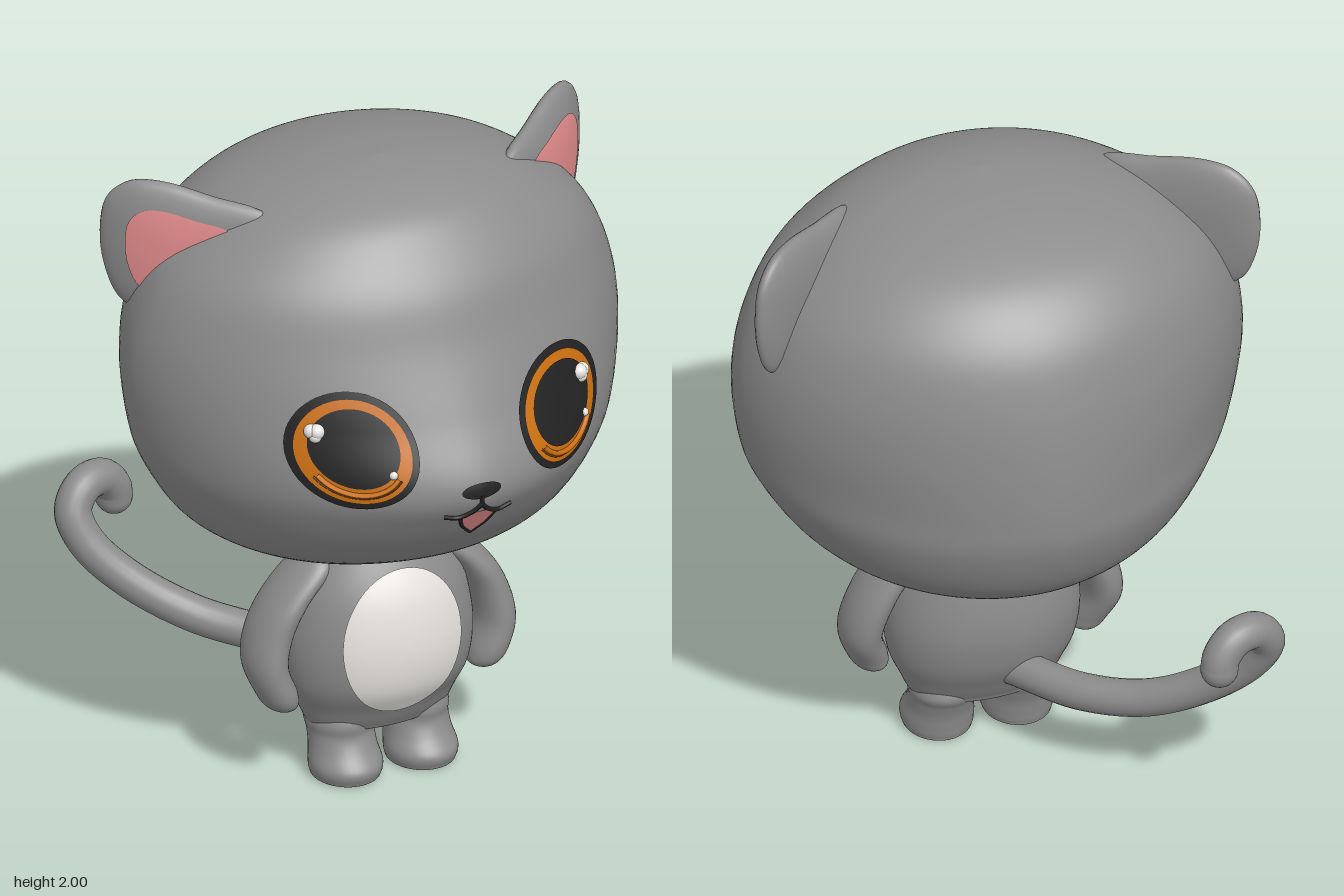
import * as THREE from 'three';

const mat = (name, color, side = THREE.FrontSide) => {
  const m = new THREE.MeshStandardMaterial({ color, side });
  m.name = name;
  return m;
};

// Cross-section rows: [y, half width, front z, back z, centre x, z of widest point, roundness power]
const fillRows = (rows) => rows.map(([y, w, f, b, x = 0, c = (f + b) / 2, p = 2]) => [y, w, f, b, x, c, p]);

const HEAD = fillRows([
  [2.0, 0, 0.07, 0.07, 0, 0.07, 2], [1.98, 0.2, 0.2, -0.13, 0, 0.05, 2], [1.93, 0.38, 0.335, -0.32, 0, 0.02, 2],
  [1.86, 0.52, 0.42, -0.45, 0, 0, 2], [1.74, 0.66, 0.512, -0.555, 0, 0, 1.92], [1.58, 0.74, 0.58, -0.615, 0, 0, 1.84],
  [1.4, 0.77, 0.668, -0.648, 0, 0, 1.74], [1.21, 0.752, 0.757, -0.662, 0, 0, 1.66], [1.08, 0.705, 0.7, -0.647, 0, 0, 1.75],
  [0.93, 0.61, 0.57, -0.58, 0, 0, 1.85], [0.83, 0.49, 0.41, -0.48, 0, -0.02, 1.92], [0.77, 0.35, 0.265, -0.36, 0, -0.03],
  [0.735, 0.21, 0.13, -0.23, 0, -0.04], [0.723, 0, -0.04, -0.04, 0, -0.04],
]);
const BODY = fillRows([
  [0.82, 0.14, 0.13, -0.06], [0.73, 0.2, 0.195, -0.11], [0.6, 0.265, 0.255, -0.15], [0.45, 0.295, 0.275, -0.167],
  [0.32, 0.285, 0.258, -0.145], [0.23, 0.25, 0.207, -0.1], [0.175, 0.225, 0.176, -0.068], [0.15, 0.195, 0.15, -0.045],
  [0.138, 0, 0.06, 0.06],
]);
const LEG = fillRows([
  [0.25, 0.07, 0.14, -0.03, 0.12], [0.18, 0.1, 0.165, -0.062, 0.122], [0.135, 0.099, 0.164, -0.045, 0.12],
  [0.09, 0.1, 0.185, -0.03, 0.121], [0.045, 0.108, 0.218, -0.022, 0.122], [0.012, 0.104, 0.212, -0.016, 0.122],
  [0, 0.088, 0.195, -0.002, 0.122], [0, 0, 0.1, 0.1, 0.122],
]);
const ARM = fillRows([
  [0.77, 0, 0.04, 0.04, 0.17], [0.7, 0.06, 0.13, -0.035, 0.203], [0.6, 0.063, 0.155, -0.045, 0.295],
  [0.5, 0.064, 0.157, -0.045, 0.349], [0.4, 0.062, 0.166, -0.03, 0.369], [0.31, 0.06, 0.167, 0.01, 0.342],
  [0.265, 0.044, 0.145, 0.035, 0.325], [0.247, 0, 0.095, 0.095, 0.318],
]);

// Smooth interpolation between rows
function rowAt(rows, t) {
  const n = rows.length - 1, i = Math.min(Math.floor(t), n - 1), s = t - i;
  const [a, b, c, d] = [-1, 0, 1, 2].map((k) => rows[Math.max(0, Math.min(n, i + k))]);
  return b.map((_, k) => b[k] + 0.5 * s * (c[k] - a[k]
    + s * (2 * a[k] - 5 * b[k] + 4 * c[k] - d[k] + s * (3 * (b[k] - c[k]) + d[k] - a[k]))));
}

// Skin superellipse cross-sections from top to bottom
function loft(rows, seg = 64, sub = 6) {
  const pos = [], idx = [], count = (rows.length - 1) * sub;
  for (let i = 0; i <= count; i++) {
    const [y, w, f, b, x, c, power] = rowAt(rows, i / sub);
    const bend = (v) => Math.sign(v) * Math.abs(v) ** (2 / power);
    for (let j = 0; j < seg; j++) {
      const a = (j / seg) * Math.PI * 2, cz = bend(Math.cos(a));
      pos.push(x + w * bend(Math.sin(a)), y, c + cz * (cz > 0 ? f - c : c - b));
      if (i < count) {
        const p = i * seg + j, q = i * seg + ((j + 1) % seg);
        idx.push(p, p + seg, q + seg, p, q + seg, q);
      }
    }
  }
  const g = new THREE.BufferGeometry();
  g.setAttribute('position', new THREE.Float32BufferAttribute(pos, 3));
  g.setIndex(idx);
  g.computeVertexNormals();
  return g;
}

// Front surface depth of a loft at (x, y)
function frontZ(rows, x, y) {
  let lo = 0, hi = rows.length - 1;
  for (let k = 0; k < 30; k++) {
    const m = (lo + hi) / 2;
    if (rowAt(rows, m)[0] > y) lo = m; else hi = m;
  }
  const [, w, f, , , c, power] = rowAt(rows, lo);
  return c + (f - c) * Math.max(0, 1 - (Math.abs(x) / w) ** power) ** (1 / power);
}
const faceZ = (x, y) => frontZ(HEAD, x, y);
const bellyZ = (x, y) => frontZ(BODY, x, y);

// Lay a flat shape onto a surface
function drape(g, surface, lift) {
  const p = g.attributes.position;
  for (let i = 0; i < p.count; i++) p.setZ(i, surface(p.getX(i), p.getY(i)) + lift);
  g.computeVertexNormals();
  return g;
}
const drapedDisc = (rx, ry, x, y, surface, lift) =>
  drape(new THREE.RingGeometry(0, 1, 56, 12).scale(rx, ry, 1).translate(x, y, 0), surface, lift);

// Round line following the face through (x, y) points
const faceLine = (pts, radius, lift) => new THREE.TubeGeometry(new THREE.CatmullRomCurve3(
  pts.map(([x, y]) => new THREE.Vector3(x, y, faceZ(x, y) + lift))), 32, radius, 8);

// Mirrored copy with face order restored
function mirror(g) {
  const m = g.clone().scale(-1, 1, 1), a = m.index.array;
  for (let i = 0; i < a.length; i += 3) [a[i], a[i + 1]] = [a[i + 1], a[i]];
  m.computeVertexNormals();
  return m;
}

// Ear outline, counter-clockwise around the ear centre
const EAR = new THREE.CatmullRomCurve3([
  [0.235, 0.02], [0.215, 0.13], [0.15, 0.19], [0.05, 0.2], [-0.1, 0.17], [-0.27, 0.125],
  [-0.22, 0], [-0.12, -0.17], [0.05, -0.24], [0.17, -0.2], [0.22, -0.1],
].map(([x, y]) => new THREE.Vector3(x, y, 0)), true);

// Lens with the ear outline; theta limits it to a front cap
function earLens(theta, lift) {
  const g = new THREE.SphereGeometry(1, 48, 20, 0, Math.PI * 2, 0, theta), p = g.attributes.position;
  for (let i = 0; i < p.count; i++) {
    const X = p.getX(i), Y = p.getY(i), Z = p.getZ(i), r = Math.hypot(X, Z);
    const turn = (Math.atan2(-Z, X) / (Math.PI * 2) + 1) % 1;
    const e = EAR.getPoint(turn);
    p.setXYZ(i, e.x * r, e.y * r, 0.054 * Y + lift);
  }
  g.computeVertexNormals();
  return g.rotateY(0.7).translate(0.593, 1.78, -0.05);
}

export function createModel() {
  const root = new THREE.Group();
  root.name = 'kitten';
  const fur = mat('grey fur', 0x8c8c8c), white = mat('white', 0xe9e6e2), dark = mat('black', 0x222222);
  const orange = mat('orange iris', 0xcc7010), brown = mat('brown', 0x7a430a);
  const pink = mat('pink', 0xe38c8c, THREE.DoubleSide);
  const add = (name, g, m) => {
    const mesh = new THREE.Mesh(g, m);
    mesh.name = name;
    root.add(mesh);
  };
  const pair = (name, g, m) => {
    add(name + 'Left', g, m);
    add(name + 'Right', mirror(g), m);
  };

  // Head, body and limbs
  add('head', loft(HEAD, 96, 8), fur);
  add('body', loft(BODY), fur);
  pair('leg', loft(LEG, 40), fur);
  pair('arm', loft(ARM, 40), fur);
  add('bellyPatch', drapedDisc(0.192, 0.235, 0, 0.463, bellyZ, 0.006), white);

  // Ears
  pair('ear', earLens(Math.PI, 0), fur);
  pair('innerEar', earLens(Math.asin(0.63), 0.004), pink);

  // Eyes, with a raised lower lid inside each iris
  pair('eyeRim', drapedDisc(0.171, 0.171, 0.337, 1.341, faceZ, 0.005), dark);
  pair('iris', drapedDisc(0.15, 0.15, 0.337, 1.341, faceZ, 0.009), orange);
  pair('pupil', drapedDisc(0.118, 0.114, 0.337, 1.352, faceZ, 0.013), dark);
  const arc = (r, from, to) => Array.from({ length: 13 }, (_, i) => {
    const a = Math.PI * (from + ((to - from) * i) / 12);
    return [0.337 + r * Math.cos(a), 1.344 + r * Math.sin(a)];
  });
  pair('lowerLid', faceLine(arc(0.126, 1.2, 1.8), 0.008, 0.014), orange);
  pair('lidCrease', faceLine(arc(0.136, 1.2, 1.8), 0.003, 0.01), brown);
  for (const s of [1, -1]) {
    const glints = [[0.426 * s, 1.398, 0.024], [0.44 * s, 1.398, 0.022], [0.431 * s, 1.384, 0.02], [0.337 * s + 0.09, 1.28, 0.013]];
    for (const [x, y, r] of glints)
      add('eyeGlint', new THREE.SphereGeometry(r, 20, 14).translate(x, y, faceZ(x, y) + 0.01), white);
  }

  // Nose and mouth
  add('nose', drapedDisc(0.063, 0.024, 0, 1.213, faceZ, 0.005), dark);
  add('noseStem', faceLine([[0, 1.2], [0, 1.16]], 0.007, 0.003), dark);
  pair('mouthLine', faceLine([[0, 1.168], [0.025, 1.142], [0.065, 1.123], [0.108, 1.133]], 0.007, 0.003), dark);
  pair('lowerLip', faceLine([[0.058, 1.125], [0.038, 1.08], [0, 1.038]], 0.006, 0.003), dark);
  const tongue = new THREE.Shape([[0, 1.038], [0.038, 1.08], [0.058, 1.125], [0.025, 1.14],
    [-0.025, 1.14], [-0.058, 1.125], [-0.038, 1.08]].map(([x, y]) => new THREE.Vector2(x, y)));
  add('tongue', drape(new THREE.ShapeGeometry(tongue), faceZ, 0.007), pink);

  // Curled tail
  const path = new THREE.CatmullRomCurve3([
    [-0.05, 0.28, -0.08], [-0.2, 0.29, -0.28], [-0.36, 0.33, -0.42], [-0.52, 0.43, -0.53], [-0.62, 0.54, -0.6],
    [-0.645, 0.63, -0.64], [-0.6, 0.69, -0.665], [-0.53, 0.692, -0.69], [-0.485, 0.645, -0.705], [-0.478, 0.61, -0.71],
  ].map((p) => new THREE.Vector3(...p)));
  add('tail', new THREE.TubeGeometry(path, 80, 0.056, 20), fur);
  const tip = path.getPoint(1);
  add('tailTip', new THREE.SphereGeometry(0.056, 24, 16).translate(tip.x, tip.y, tip.z), fur);

  return root;
}
